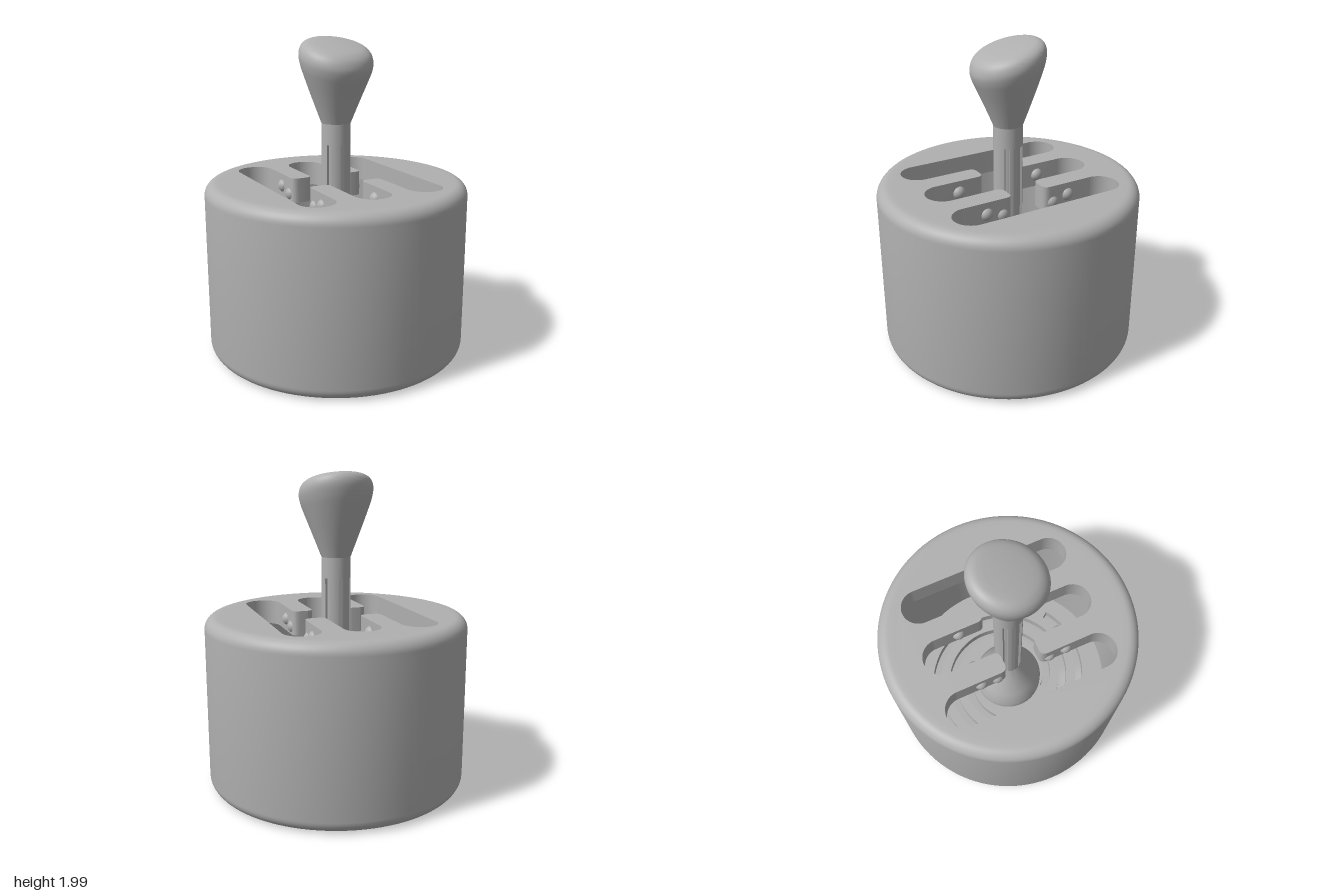
import * as THREE from 'three';
import { toCreasedNormals } from 'three/addons/utils/BufferGeometryUtils.js';

const grey = new THREE.MeshStandardMaterial({ color: 0xb0b0b0 });
grey.name = 'plain grey';

const V = (x, y) => new THREE.Vector2(x, y);

function add(parent, name, geometry) {
  const mesh = new THREE.Mesh(geometry, grey);
  mesh.name = name;
  parent.add(mesh);
  return mesh;
}

// Flat plan shape (x, -z) raised upwards from height y
function plate(shape, y, height, curveSegments = 48) {
  const g = new THREE.ExtrudeGeometry(shape, { depth: height, bevelEnabled: false, curveSegments });
  g.rotateX(-Math.PI / 2).translate(0, y, 0);
  return toCreasedNormals(g, 0.6);
}

const disc = (r) => new THREE.Shape().absarc(0, 0, r, 0, Math.PI * 2, false);

// Hollow drum wall with rounded rims
function wallGeometry(R, H, inner, f) {
  const pts = [V(inner, 0)];
  for (let i = 0; i <= 8; i++) {
    const a = -Math.PI / 2 + (i / 8) * Math.PI / 2;
    pts.push(V(R - f + f * Math.cos(a), f + f * Math.sin(a)));
  }
  for (let i = 0; i <= 8; i++) {
    const a = (i / 8) * Math.PI / 2;
    pts.push(V(R - f + f * Math.cos(a), H - f + f * Math.sin(a)));
  }
  pts.push(V(inner, H), V(inner, 0));
  return toCreasedNormals(new THREE.LatheGeometry(pts, 96), 0.6);
}

// Three joined slots; each half is the other turned by 180 degrees
function gateHole() {
  const p = new THREE.Path();
  const r = 0.115, end = 0.455, tip = 0.115, c = 0.045;
  p.moveTo(-0.48, 0);
  for (const s of [1, -1]) {
    [-0.365, 0, 0.365].forEach((cx, i) => {
      const a = s > 0 ? Math.PI : 0;
      p.lineTo(s * (cx - r), s * end);
      p.absarc(s * cx, s * end, r, a, a - Math.PI, true);
      if (i === 2) return;
      const x0 = cx + r, x1 = cx + 0.365 - r;
      p.lineTo(s * x0, s * (tip + c));
      p.quadraticCurveTo(s * x0, s * tip, s * (x0 + c), s * tip);
      p.lineTo(s * (x1 - c), s * tip);
      p.quadraticCurveTo(s * x1, s * tip, s * x1, s * (tip + c));
    });
    p.lineTo(s * 0.48, 0);
  }
  return p;
}

// Spiral slot widening counter-clockwise from its inner end
function spiralHole(turn) {
  const n = 90, w = 0.0275, outer = [], inner = [];
  for (let i = 0; i <= n; i++) {
    const t = i / n;
    const a = THREE.MathUtils.degToRad(50 + 436 * t) + turn;
    const r = 0.28 + 0.3 * t;
    outer.push(V((r + w) * Math.cos(a), (r + w) * Math.sin(a)));
    inner.push(V((r - w) * Math.cos(a), (r - w) * Math.sin(a)));
  }
  return new THREE.Path(outer.concat(inner.reverse()));
}

// Round stem section with four shallow grooves
function groovedSection(r) {
  const pts = [];
  for (let i = 0; i < 120; i++) {
    const a = (i / 120) * Math.PI * 2;
    const fold = Math.acos(Math.abs(Math.cos(a)));
    const rr = Math.abs(fold - 0.6) < 0.17 ? r - 0.015 : r;
    pts.push(V(rr * Math.cos(a), rr * Math.sin(a)));
  }
  return new THREE.Shape(pts);
}

// Flared knob whose top leans down towards the front
function knobGeometry() {
  const profile = new THREE.SplineCurve([
    V(0.16, 1.645), V(0.2, 1.75), V(0.222, 1.815), V(0.23, 1.87),
    V(0.216, 1.917), V(0.18, 1.945), V(0.13, 1.955),
  ]).getPoints(28);
  const g = new THREE.LatheGeometry([V(0.092, 1.47), V(0.125, 1.555), ...profile, V(0, 1.955)], 64);
  const p = g.attributes.position;
  for (let i = 0; i < p.count; i++) {
    const lean = THREE.MathUtils.clamp((p.getY(i) - 1.47) / 0.4, 0, 1);
    p.setY(i, p.getY(i) - 0.27 * lean * p.getZ(i));
  }
  return toCreasedNormals(g, 0.5);
}

export function createModel() {
  const model = new THREE.Group();
  model.name = 'gear stick toy';

  // Drum body
  const body = new THREE.Group();
  body.name = 'body';
  model.add(body);
  add(body, 'drumWall', wallGeometry(0.83, 1.11, 0.72, 0.075));

  const top = disc(0.72);
  top.holes.push(gateHole());
  add(body, 'shiftGate', plate(top, 0.95, 0.16));

  const floor = disc(0.72);
  floor.holes.push(spiralHole(0), spiralHole(Math.PI));
  add(body, 'spiralSpringFloor', plate(floor, 0, 0.07));

  // Detent bumps on the sides of the four gate fingers
  const bumps = new THREE.Group();
  bumps.name = 'detentBumps';
  body.add(bumps);
  for (const sx of [-1, 1]) {
    for (const sz of [-1, 1]) {
      for (const [x, y, z, r] of [[0.13, 1.03, 0.29, 0.045], [0.23, 1.03, 0.29, 0.045], [0.225, 1.0, 0.18, 0.045]]) {
        add(bumps, 'detentBump', new THREE.SphereGeometry(r, 20, 14)).position.set(sx * x, y, sz * z);
      }
    }
  }

  // Lever standing on the middle of the spring floor
  const lever = new THREE.Group();
  lever.name = 'lever';
  model.add(lever);
  const foot = [V(0.24, 0.07), V(0.24, 0.14), V(0.2, 0.24), V(0.13, 0.38), V(0.09, 0.5)];
  add(lever, 'leverFoot', toCreasedNormals(new THREE.LatheGeometry(foot, 64), 0.6));
  add(lever, 'groovedStem', plate(groovedSection(0.092), 0.45, 0.89));
  const upper = new THREE.CylinderGeometry(0.092, 0.092, 0.13, 64);
  add(lever, 'upperStem', upper).position.y = 1.405;
  add(lever, 'knob', knobGeometry());

  return model;
}
